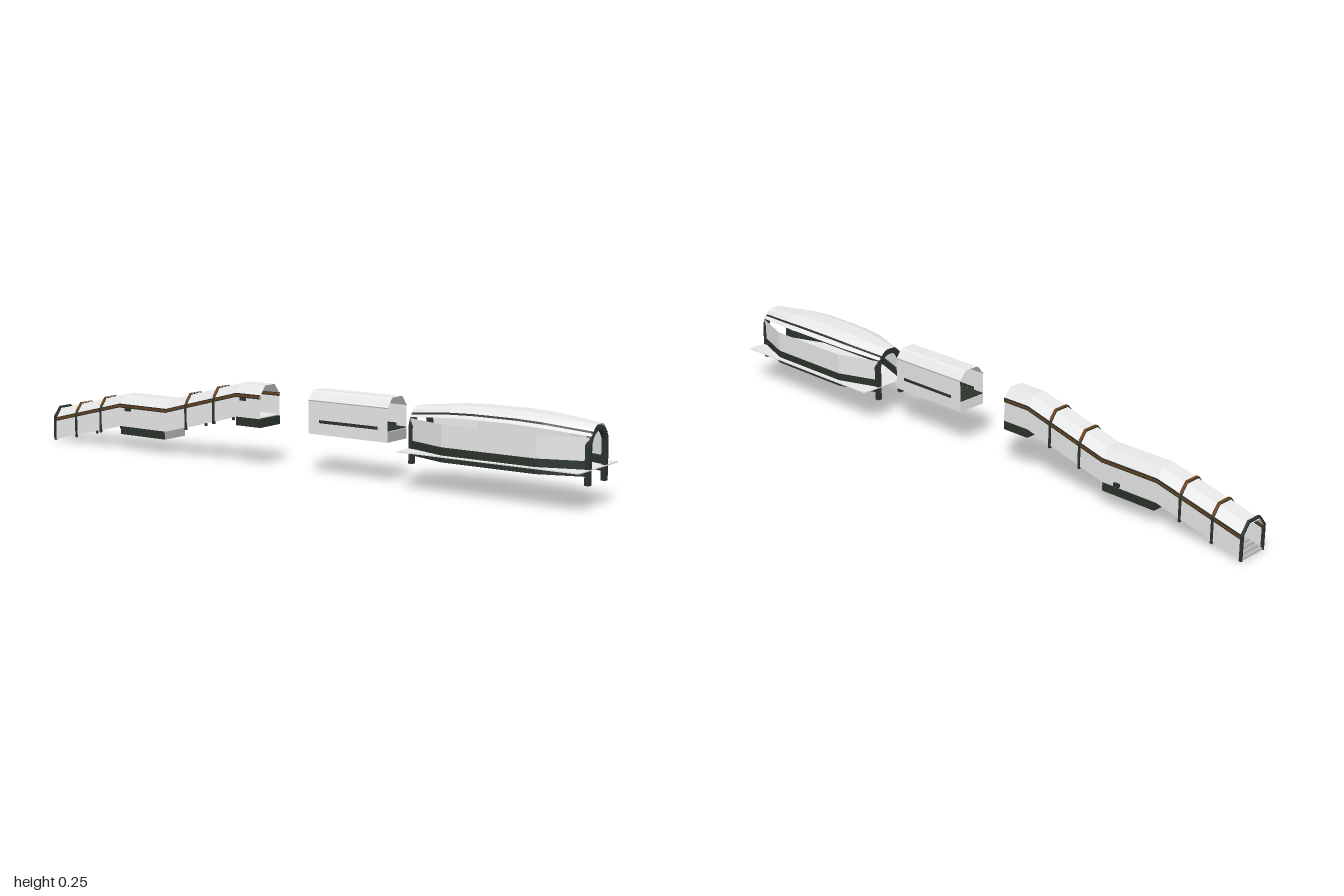
import * as THREE from 'three';

const mat = (name, color) => {
  const m = new THREE.MeshStandardMaterial({ color, side: THREE.DoubleSide, flatShading: true });
  m.name = name;
  return m;
};

export function createModel() {
  const shell = mat('pale grey shell', 0xefefef);
  const stepGrey = mat('step grey', 0xb4b4b4);
  const dark = mat('dark green metal', 0x2b332c);
  const brown = mat('brown rail', 0x6b4018);

  const model = new THREE.Group();
  const group = (name) => {
    const g = new THREE.Group();
    g.name = name;
    model.add(g);
    return g;
  };
  const add = (parent, name, geo, material, x = 0, y = 0, z = 0) => {
    const m = new THREE.Mesh(geo, material);
    m.name = name;
    m.position.set(x, y, z);
    parent.add(m);
    return m;
  };
  const box = (parent, name, material, w, h, d, x, y, z) =>
    add(parent, name, new THREE.BoxGeometry(w, h, d), material, x, y, z);

  // Skin over a row of cross-sections, each a list of [x, y, z]
  const loft = (rows, closed = false) => {
    const pos = [];
    for (let i = 0; i + 1 < rows.length; i++) {
      const n = rows[i].length;
      for (let j = 0; j < (closed ? n : n - 1); j++) {
        const k = (j + 1) % n;
        const [a, b, c, d] = [rows[i][j], rows[i][k], rows[i + 1][k], rows[i + 1][j]];
        pos.push(...a, ...b, ...c, ...a, ...c, ...d);
      }
    }
    const g = new THREE.BufferGeometry();
    g.setAttribute('position', new THREE.Float32BufferAttribute(pos, 3));
    g.computeVertexNormals();
    return g;
  };
  const extrude = (shape, depth) => {
    const g = new THREE.ExtrudeGeometry(shape, { depth, bevelEnabled: false, curveSegments: 10 });
    return g.translate(0, 0, -depth / 2);
  };

  // ---------- Station pod ----------
  const station = group('station');
  box(station, 'platform', shell, 0.232, 0.003, 0.58, 0, 0.113, 0.71);
  const plan = [[0.052, 0.425], [0.1, 0.56], [0.1, 0.86], [0.052, 0.995]];
  for (const s of [-1, 1]) {
    add(station, 'sideWall', loft(plan.map(([x, z]) => [[s * x, 0.138, z], [s * x, 0.203, z]])), shell);
    const skirt = plan.map(([x, z]) => [
      [s * x, 0.095, z], [s * (x - 0.006), 0.095, z], [s * (x - 0.006), 0.138, z], [s * x, 0.138, z]]);
    add(station, 'wallSkirt', loft(skirt, true), dark);
  }
  // Roof rows: z, half width, crown height
  const roofRows = [[0.42, 0.05, 0.234], [0.56, 0.084, 0.249], [0.64, 0.091, 0.253],
    [0.78, 0.091, 0.253], [0.86, 0.084, 0.249], [1.0, 0.05, 0.234]];
  const roofStrip = (points) => loft(roofRows.map(([z, w, t]) => points.map(([u, d]) => [u * w, t - d, z])));
  add(station, 'roof', roofStrip([[-0.74, 0.017], [-0.6, 0.008], [-0.33, 0], [0.33, 0], [0.6, 0.008], [0.74, 0.017]]), shell);
  for (const s of [-1, 1]) {
    add(station, 'roofRim', roofStrip([[s * 0.74, 0.017], [s * 0.8, 0.024]]), dark);
    add(station, 'roofFlange', roofStrip([[s * 0.8, 0.022], [s, 0.029]]), shell);
  }
  // Dark entrance arches at both ends
  const arch = new THREE.Shape();
  arch.moveTo(-0.056, 0.07);
  arch.lineTo(-0.056, 0.175);
  arch.absarc(0, 0.175, 0.056, Math.PI, 0, true);
  arch.lineTo(0.056, 0.07);
  arch.lineTo(0.041, 0.07);
  arch.lineTo(0.041, 0.175);
  arch.absarc(0, 0.175, 0.041, 0, Math.PI, false);
  arch.lineTo(-0.041, 0.07);
  for (const z of [0.428, 0.992]) add(station, 'entranceArch', extrude(arch, 0.014), dark, 0, 0, z);

  // ---------- Middle tunnel ----------
  const cx = -0.016;
  const tunnel = group('tunnel');
  tunnel.position.x = cx;
  box(tunnel, 'tunnelBase', shell, 0.1, 0.033, 0.285, 0, 0.1415, 0.2125);
  box(tunnel, 'tunnelFrontPlate', stepGrey, 0.098, 0.03, 0.002, 0, 0.141, 0.3555);
  box(tunnel, 'tunnelFloor', dark, 0.096, 0.003, 0.283, 0, 0.1595, 0.2125);
  const hood = [[-0.05, 0.158], [-0.05, 0.225], [-0.031, 0.25], [-0.024, 0.255],
    [0.024, 0.255], [0.031, 0.25], [0.05, 0.225], [0.05, 0.158]];
  add(tunnel, 'tunnelHood', loft([0.07, 0.1, 0.325, 0.355].map((z) => hood.map(([x, y]) => [x, y, z]))), shell);
  for (const s of [-1, 1]) {
    box(tunnel, 'sideSlot', dark, 0.002, 0.009, 0.21, s * 0.0503, 0.165, 0.215);
    box(tunnel, 'hoodTrim', stepGrey, 0.002, 0.003, 0.285, s * 0.05, 0.226, 0.2125);
  }

  // ---------- Descending stair gallery ----------
  const gallery = group('stairGallery');
  gallery.position.x = cx;
  const path = [[-0.115, 0.151], [-0.21, 0.151], [-0.5, 0.075], [-0.7, 0.075], [-1.0, 0.001]];
  const floorAt = (z) => {
    const i = path.findIndex(([pz]) => pz <= z);
    const [a, b] = [path[i - 1], path[i]];
    return a[1] + ((b[1] - a[1]) * (z - a[0])) / (b[0] - a[0]);
  };
  const profile = [[-0.049, 0], [-0.049, 0.07], [-0.024, 0.102], [0.024, 0.102], [0.049, 0.07], [0.049, 0]];
  add(gallery, 'galleryShell', loft(path.map(([z, y]) => profile.map(([x, h]) => [x, y + h, z]))), shell);

  // Steps and landings as one folded ribbon
  const fold = [];
  path.forEach(([z, y], i) => {
    fold.push([z, y]);
    const next = path[i + 1];
    if (!next || next[1] === y) return;
    const n = 20;
    for (let k = 1; k <= n; k++) {
      const zk = z + ((next[0] - z) * k) / n;
      fold.push([zk, y + ((next[1] - y) * (k - 1)) / n], [zk, y + ((next[1] - y) * k) / n]);
    }
  });
  add(gallery, 'steps', loft(fold.map(([z, y]) => [[-0.048, y + 0.002, z], [0.048, y + 0.002, z]])), stepGrey);

  // Landings
  box(gallery, 'upperLandingBase', dark, 0.1, 0.027, 0.095, 0, 0.1375, -0.1625);
  box(gallery, 'middleLandingBase', dark, 0.1, 0.026, 0.19, 0, 0.062, -0.6);
  box(gallery, 'middleLandingFront', stepGrey, 0.098, 0.026, 0.002, 0, 0.062, -0.5045);
  box(gallery, 'upperLandingFloor', shell, 0.096, 0.002, 0.094, 0, 0.1545, -0.1625);
  box(gallery, 'middleLandingFloor', shell, 0.096, 0.002, 0.19, 0, 0.0785, -0.6);

  // Brown side rails between dark edges
  for (const s of [-1, 1]) {
    const rail = (y0, y1, x1) => loft(path.map(([z, y]) => [
      [s * 0.047, y + y0, z], [s * x1, y + y0, z], [s * x1, y + y1, z], [s * 0.047, y + y1, z]]), true);
    add(gallery, 'sideRail', rail(0.065, 0.071, 0.0512), brown);
    add(gallery, 'lowerRailEdge', rail(0.0615, 0.065, 0.0512), dark);
    add(gallery, 'upperRailEdge', rail(0.071, 0.074, 0.0506), dark);
  }

  // Ribs around the gallery, with brown caps on the crown
  const ribShape = new THREE.Shape([[-0.0525, -0.008], [-0.0525, 0.071], [-0.025, 0.1045], [0.025, 0.1045],
    [0.0525, 0.071], [0.0525, -0.008], [0.046, -0.008], [0.046, 0.069], [0.023, 0.098], [-0.023, 0.098],
    [-0.046, 0.069], [-0.046, -0.008]].map(([x, y]) => new THREE.Vector2(x, y)));
  for (const z of [-0.3, -0.415, -0.785, -0.897]) {
    const y = floorAt(z);
    add(gallery, 'rib', extrude(ribShape, 0.007), dark, 0, y, z);
    const cap = [-0.005, 0.005].map((d) =>
      [[-0.048, 0.079], [-0.025, 0.107], [0.025, 0.107], [0.048, 0.079]].map(([x, h]) => [x, y + h, z + d]));
    add(gallery, 'ribCap', loft(cap), brown);
  }
  add(gallery, 'endFrame', extrude(ribShape, 0.008), dark, 0, 0.008, -0.996);

  // Small wall fittings
  for (const [x, h, z] of [[-0.053, 0.058, -0.18], [0.053, 0.01, -0.56], [-0.053, 0.058, -0.66]])
    box(gallery, 'wallFitting', dark, 0.008, 0.01, 0.02, x, floorAt(z) + h, z);

  return model;
}
